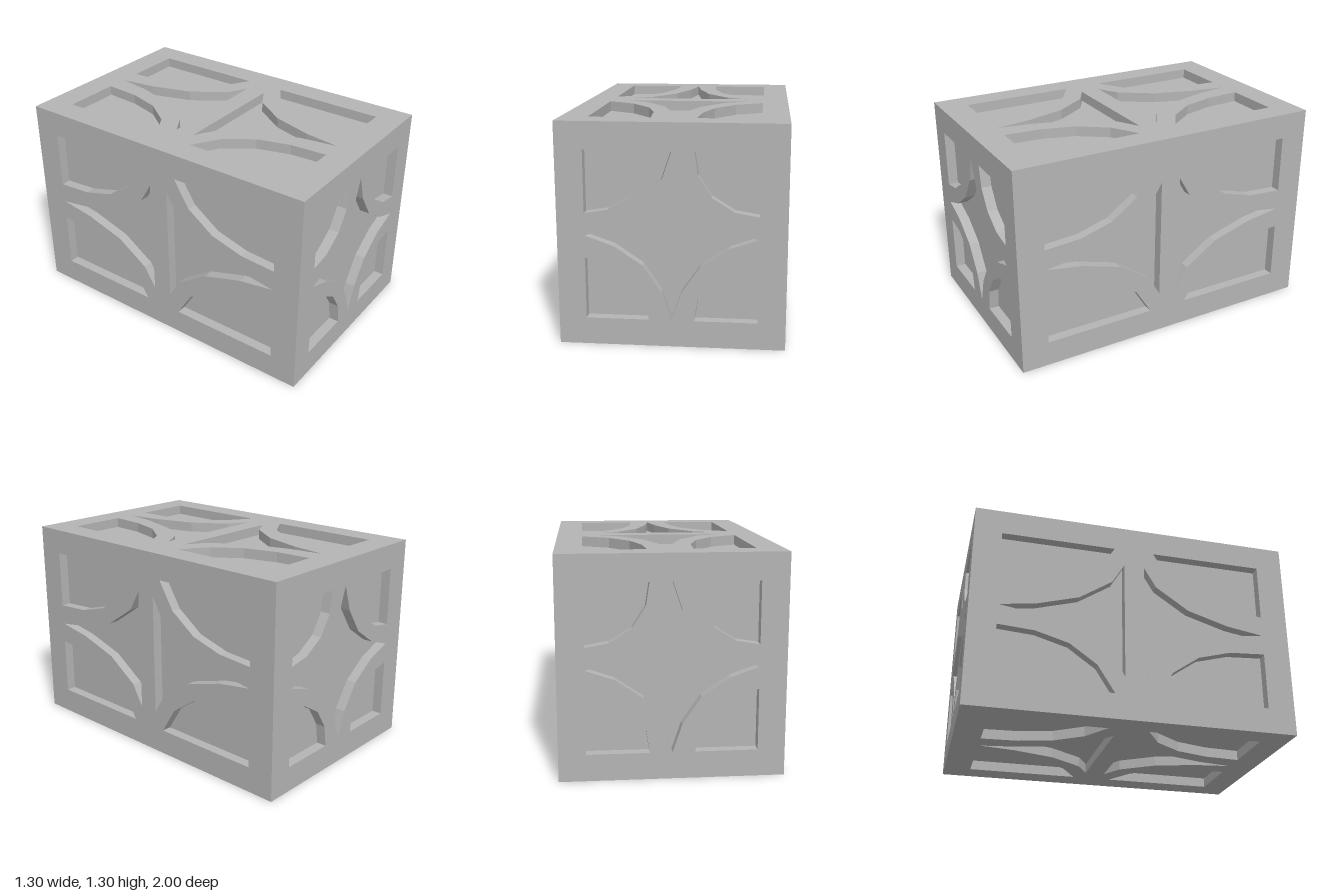
import * as THREE from 'three';

const HALF = 0.648;   // half width and half height
const LONG = 1.0;     // half length
const DEPTH = 0.062;  // depth of the recesses

const stone = new THREE.MeshStandardMaterial({ color: 0xb4b4b4 });
stone.name = 'stone grey';

// Outlines in one quadrant, mirrored to make the complete openings
const endCorner = [[0.49, 0.49], [0.13, 0.49], [0.15, 0.355], [0.227, 0.233], [0.355, 0.153], [0.49, 0.13]];
const endStar = [[0.49, 0], [0.325, 0.057], [0.163, 0.167], [0.055, 0.325], [0, 0.49]];
const sideCorner = [[0.83, 0.49], [0.125, 0.49], [0.23, 0.323], [0.4, 0.203], [0.605, 0.145], [0.83, 0.13]];
const sideStar = [[0.825, 0], [0.6, 0.035], [0.345, 0.112], [0.14, 0.25], [0.063, 0.38]];

const flip = (pts, sx, sy) => pts.map(([x, y]) => [x * sx, y * sy]);
const fourCorners = (pts) => [[1, 1], [-1, 1], [-1, -1], [1, -1]].map(([sx, sy]) => flip(pts, sx, sy));
// Add the lower mirror image to an upper-right outline
const mirrorDown = (pts) => [...pts, ...flip(pts, 1, -1).slice(1).reverse()];

const rightHalf = mirrorDown(endStar);
const star = [...endStar, ...flip(endStar, -1, 1).reverse().slice(1),
  ...flip(endStar, -1, -1).slice(1), ...flip(endStar, 1, -1).reverse().slice(1, -1)];
const halfStar = mirrorDown(sideStar);

// Pierced panel with mitred edges so six of them close into a box
function panelGeometry(w, h, openings) {
  const toPoints = (pts) => pts.map(([x, y]) => new THREE.Vector2(x, y));
  const shape = new THREE.Shape(toPoints([[-w, -h], [w, -h], [w, h], [-w, h]]));
  shape.holes = openings.map((o) => new THREE.Path(toPoints(o)));
  const geo = new THREE.ExtrudeGeometry(shape, { depth: DEPTH, bevelEnabled: false });
  const p = geo.attributes.position;
  for (let i = 0; i < p.count; i++) {
    if (p.getZ(i) > 1e-4 || Math.abs(p.getX(i)) < w - 1e-4) continue;
    p.setX(i, Math.sign(p.getX(i)) * (w - DEPTH));
    p.setY(i, Math.sign(p.getY(i)) * (h - DEPTH));
  }
  geo.computeVertexNormals();
  return geo;
}

export function createModel() {
  const model = new THREE.Group();
  model.name = 'carvedBlock';
  const add = (geo, name) => {
    const mesh = new THREE.Mesh(geo, stone);
    mesh.name = name;
    mesh.position.y = HALF;
    model.add(mesh);
  };

  // Inner block forms the floors of the recesses
  const inner = 2 * (HALF - DEPTH);
  add(new THREE.BoxGeometry(inner, inner, 2 * (LONG - DEPTH)), 'innerBlock');

  // Square end panels with a full star
  const end = panelGeometry(HALF, HALF, [...fourCorners(endCorner), star]);
  end.translate(0, 0, LONG - DEPTH);
  add(end, 'frontPanel');
  add(end.clone().rotateY(Math.PI), 'backPanel');

  // Long panels with a star split by a middle bar
  const side = panelGeometry(LONG, HALF, [...fourCorners(sideCorner), halfStar, flip(halfStar, -1, 1)]);
  side.translate(0, 0, HALF - DEPTH).rotateY(Math.PI / 2);
  ['leftPanel', 'topPanel', 'rightPanel', 'bottomPanel'].forEach((name, i) => {
    add(side.clone().rotateZ(i * Math.PI / 2), name);
  });
  return model;
}
